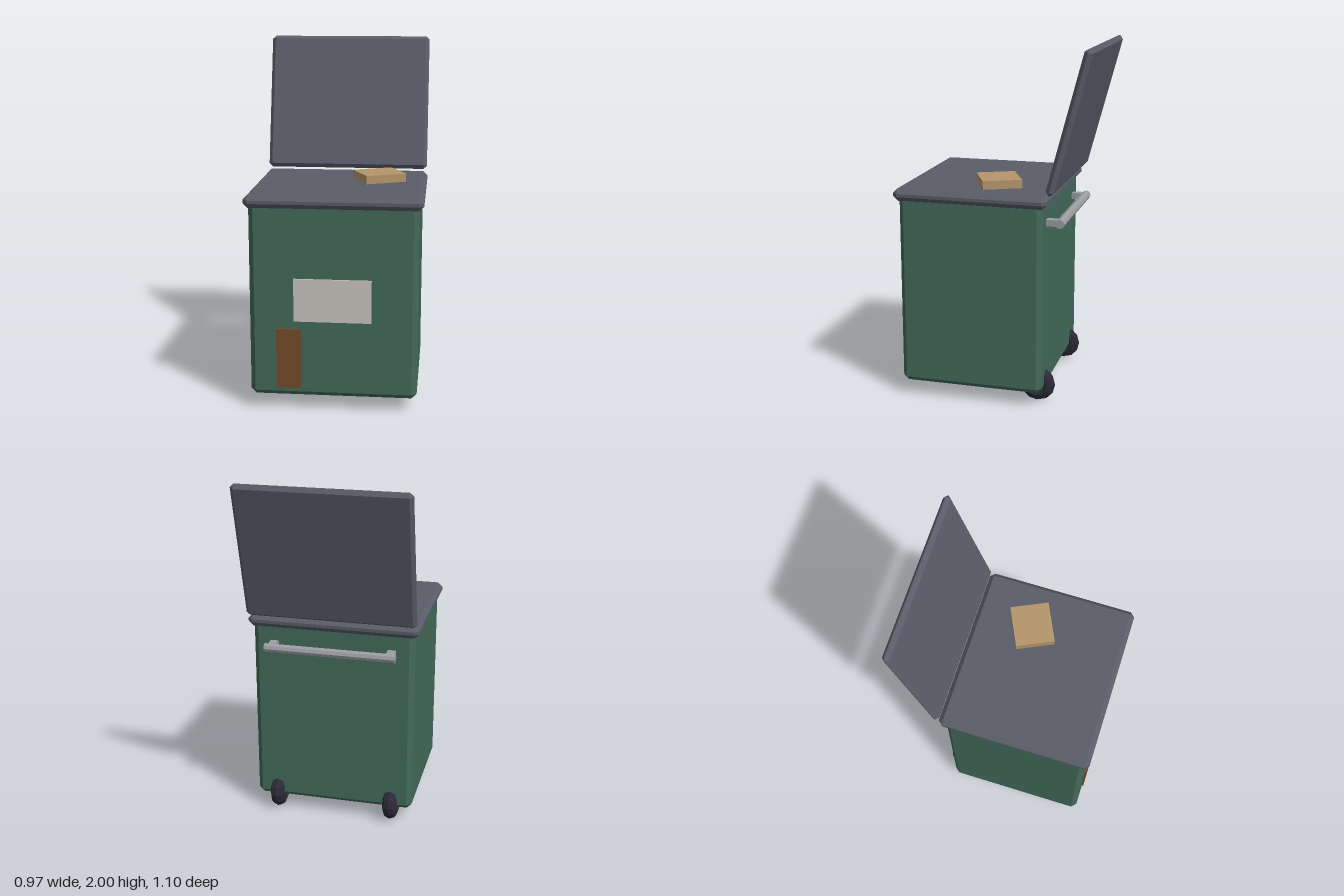
import * as THREE from 'three';
import { ConvexGeometry } from 'three/addons/geometries/ConvexGeometry.js';

const mat = (name, color) => {
  const m = new THREE.MeshStandardMaterial({ color, flatShading: true });
  m.name = name;
  return m;
};

// Box with every edge and corner cut off by c
function chamferBox(w, h, d, c) {
  const pts = [];
  for (const sx of [-1, 1]) for (const sy of [-1, 1]) for (const sz of [-1, 1]) {
    const x = w / 2, y = h / 2, z = d / 2;
    pts.push(new THREE.Vector3(sx * x, sy * (y - c), sz * (z - c)));
    pts.push(new THREE.Vector3(sx * (x - c), sy * y, sz * (z - c)));
    pts.push(new THREE.Vector3(sx * (x - c), sy * (y - c), sz * z));
  }
  return new ConvexGeometry(pts);
}

export function createModel() {
  const model = new THREE.Group();
  model.name = 'wheeledBin';

  const green = mat('binGreen', 0x426a59);
  const slate = mat('lidSlate', 0x5a5d69);
  const rubber = mat('wheelRubber', 0x2b2a36);
  const metal = mat('handleMetal', 0x9c9da3);
  const paper = mat('labelPaper', 0xcac5bf);
  const rust = mat('rustBrown', 0x744a2a);
  const card = mat('cardboard', 0xb4946a);

  const add = (name, geometry, material, x, y, z) => {
    const mesh = new THREE.Mesh(geometry, material);
    mesh.name = name;
    mesh.position.set(x, y, z);
    model.add(mesh);
    return mesh;
  };

  // Body and the rim slab that caps it
  add('body', chamferBox(0.92, 1.09, 0.815, 0.028), green, 0, 0.625, 0.118);
  add('rim', chamferBox(0.97, 0.07, 0.87, 0.026), slate, 0, 1.177, 0.117);

  // Open lid leaning back
  const lid = add('lid', chamferBox(0.96, 0.806, 0.046, 0.02), slate, 0, 1.608, -0.431);
  lid.rotation.x = -0.26;

  // Front label and rust patch
  add('label', new THREE.BoxGeometry(0.425, 0.24, 0.009), paper, -0.002, 0.635, 0.53);
  add('rustPatch', new THREE.BoxGeometry(0.138, 0.34, 0.009), rust, -0.243, 0.3, 0.53);

  // Flat carton left on top
  const carton = add('carton', new THREE.BoxGeometry(0.24, 0.048, 0.22), card, 0.215, 1.235, 0.015);
  carton.rotation.y = 0.44;

  // Rear handle bar
  const bar = add('handleBar', new THREE.CylinderGeometry(0.026, 0.026, 0.74, 8), metal, 0, 1.045, -0.368);
  bar.rotation.z = Math.PI / 2;

  for (const side of [-1, 1]) {
    add('handleBracket', new THREE.BoxGeometry(0.045, 0.036, 0.09), metal, side * 0.335, 1.045, -0.325);
    const wheel = add('wheel', new THREE.TorusGeometry(0.058, 0.042, 8, 12), rubber, side * 0.337, 0.1, -0.245);
    wheel.rotation.y = Math.PI / 2;
  }

  return model;
}
